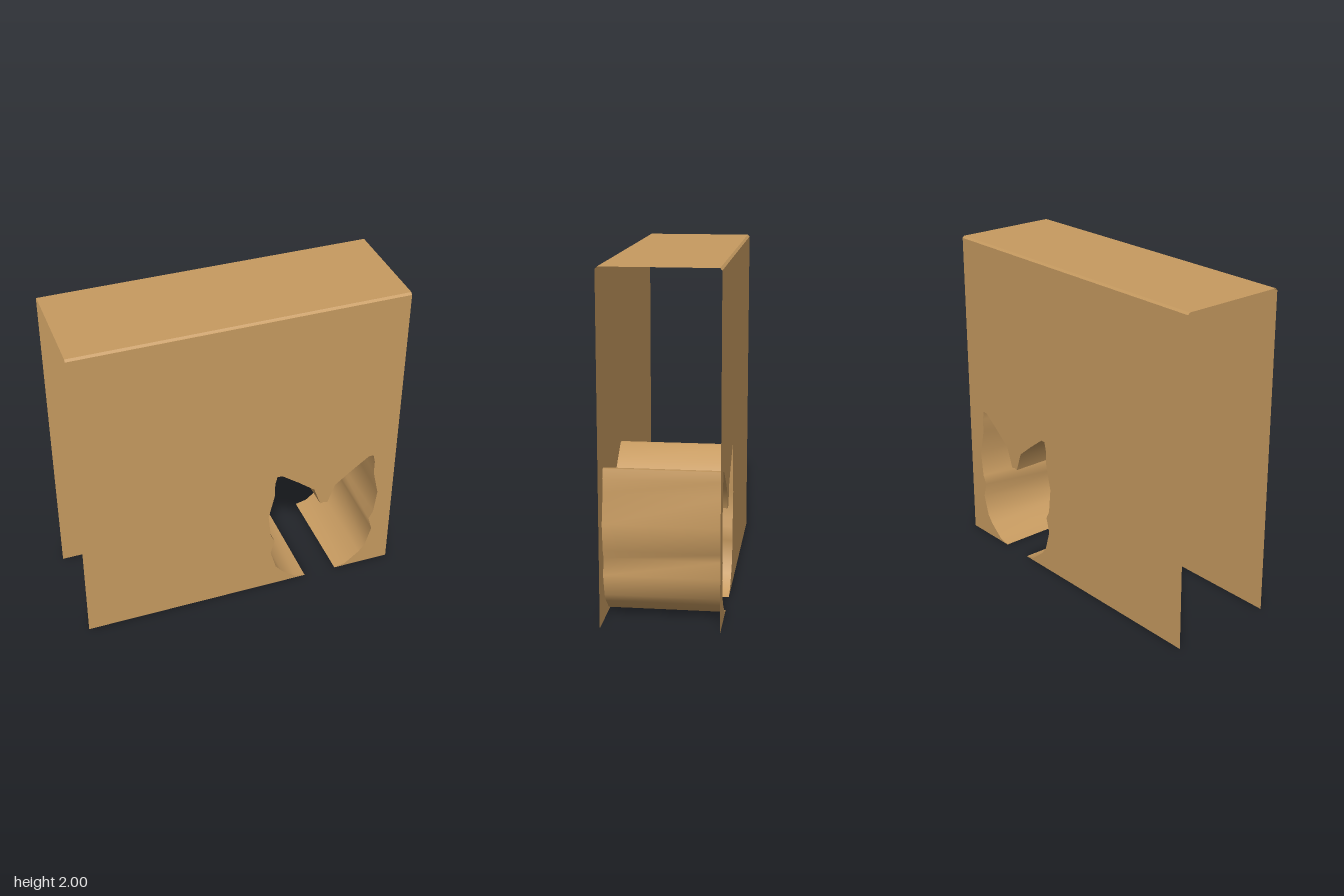
import * as THREE from 'three';
import { toCreasedNormals } from 'three/addons/utils/BufferGeometryUtils.js';

const W = 1, H = 2, D = 0.333, BEVEL = 0.012;
const MID = 0.534; // centre line of the cat-head opening

// Half of the cat-head outline, from the floor up to the notch between the ears
const half = [
  [0.43, 0], [0.358, 0.017], [0.267, 0.09], [0.227, 0.14], [0.189, 0.268],
  [0.214, 0.36], [0.187, 0.413], [0.169, 0.568], [0.207, 0.735], [0.206, 0.82],
  [0.219, 0.875], [0.25, 0.874], [0.358, 0.794], [0.465, 0.708], [0.51, 0.584],
];
const outline = [
  ...half,
  [MID, 0.59],
  ...half.map(([x, y]) => [2 * MID - x, y]).reverse(),
];

// Open sheet: sweeps a 2D line from -depth to +depth along z
function sheet(points, depth) {
  const pos = [], index = [];
  points.forEach(([x, y], i) => {
    pos.push(x, y, -depth, x, y, depth);
    if (i) {
      const a = 2 * i - 2;
      index.push(a, a + 1, a + 3, a, a + 3, a + 2);
    }
  });
  const geo = new THREE.BufferGeometry();
  geo.setAttribute('position', new THREE.Float32BufferAttribute(pos, 3));
  geo.setIndex(index);
  return geo;
}

export function createModel() {
  const model = new THREE.Group();
  model.name = 'openBoxWithCatTunnel';
  const tan = new THREE.MeshStandardMaterial({ color: 0xc69a60, side: THREE.DoubleSide });
  tan.name = 'cardboardTan';

  const add = (name, geo) => {
    const mesh = new THREE.Mesh(geo, tan);
    mesh.name = name;
    model.add(mesh);
    return mesh;
  };

  // Front and back walls, cut out along the cat head
  const top = H - BEVEL;
  const wall = new THREE.Shape(
    [[-W, 0], ...outline, [W, 0], [W, top], [-W, top]].map(([x, y]) => new THREE.Vector2(x, y))
  );
  const wallGeo = new THREE.ShapeGeometry(wall);
  add('frontWall', wallGeo).position.z = D;
  const back = wallGeo.clone().scale(-1, 1, 1).rotateY(Math.PI);
  // the mirrored copy has reversed winding, so restore outward faces
  const idx = back.index.array;
  for (let i = 0; i < idx.length; i += 3) [idx[i], idx[i + 1]] = [idx[i + 1], idx[i]];
  back.computeVertexNormals();
  add('backWall', back).position.z = -D;

  // Roof with a narrow bevel along both long edges
  const roof = sheet([[-D, top], [-D + BEVEL, H], [D - BEVEL, H], [D, top]], W);
  roof.rotateY(-Math.PI / 2);
  // face the roof upward
  const normals = toCreasedNormals(roof, 0.3);
  if (normals.attributes.normal.getY(6) < 0) {
    roof.index.array.reverse();
    add('roof', toCreasedNormals(roof, 0.3));
  } else add('roof', normals);

  // Tunnel joining the two openings
  add('catTunnel', toCreasedNormals(sheet(outline, D), 0.9));

  return model;
}
